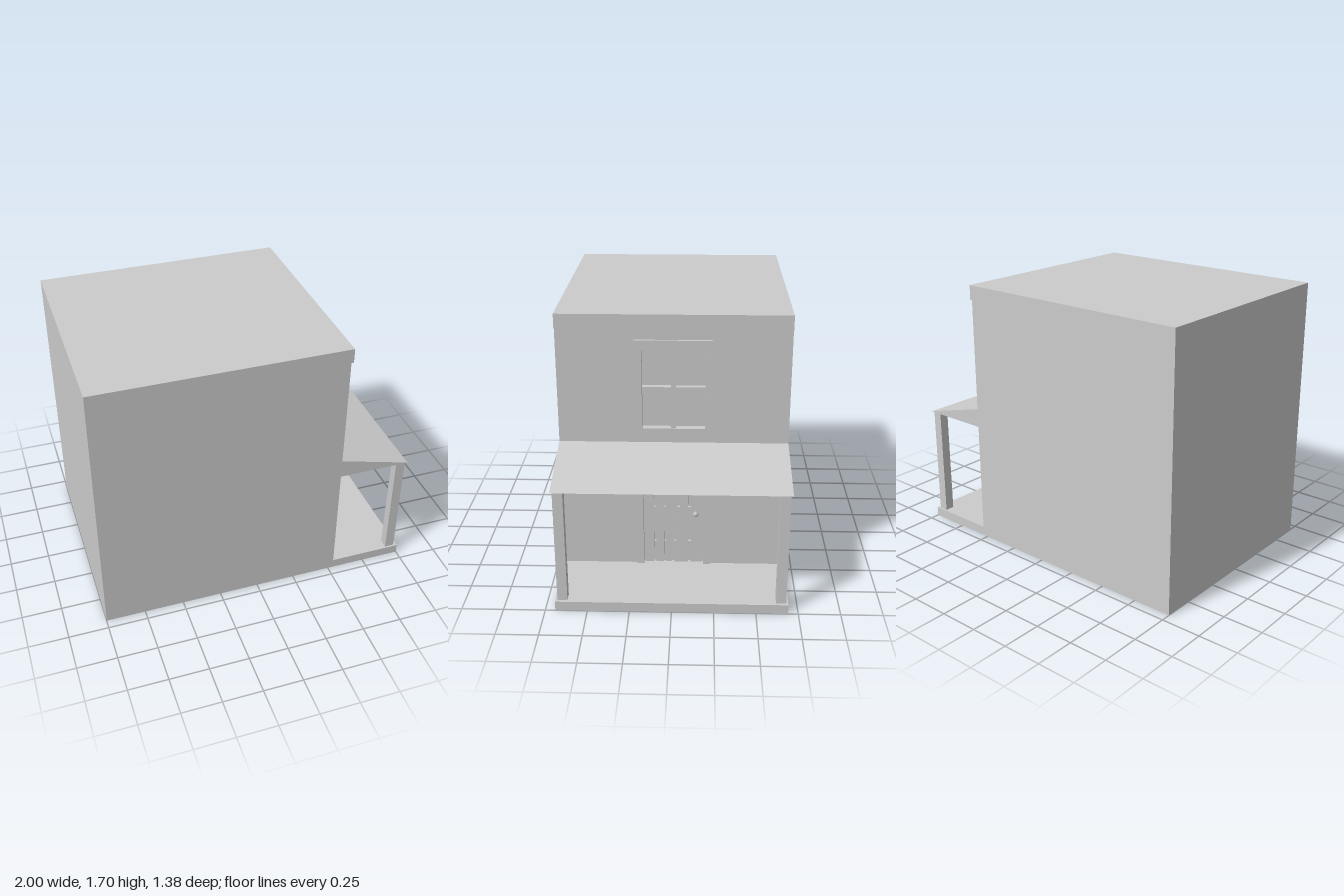
import * as THREE from 'three';

const WALL = 0.535;   // outer face of the facade
const RECESS = 0.505; // back of the door and window openings
const TRIM = 0.55;    // outer face of frames and cornice
const HALF = 0.69;    // half depth of the house

export function createModel() {
  const model = new THREE.Group();
  const material = new THREE.MeshStandardMaterial({ color: 0xcccccc });

  const add = (name, geometry) => {
    const mesh = new THREE.Mesh(geometry, material);
    mesh.name = name;
    model.add(mesh);
    return mesh;
  };
  // Box given by its limits on each axis
  const box = (name, x0, x1, y0, y1, z0, z1) =>
    add(name, new THREE.BoxGeometry(x1 - x0, y1 - y0, z1 - z0)
      .translate((x0 + x1) / 2, (y0 + y1) / 2, (z0 + z1) / 2));
  const points = (list) => list.map(([a, b]) => new THREE.Vector2(a, b));
  const rect = (w, y0, y1) => [[-w, y0], [w, y0], [w, y1], [-w, y1]];
  // Panel drawn as [-z, y] and extruded along x
  const panel = (name, outline, x0, x1, holes = []) => {
    const shape = new THREE.Shape(points(outline));
    for (const hole of holes) shape.holes.push(new THREE.Path(points(hole)));
    const geometry = new THREE.ExtrudeGeometry(shape, { depth: x1 - x0, bevelEnabled: false });
    return add(name, geometry.rotateY(Math.PI / 2).translate(x0, 0, 0));
  };

  // House block, facade with openings, cornice and porch floor
  const doorHole = rect(0.187, 0.06, 0.71);
  const windowHole = rect(0.187, 0.99, 1.48);
  box('houseBody', -1, RECESS, 0, 1.695, -HALF, HALF);
  panel('facade', rect(HALF, 0, 1.695), RECESS, WALL, [doorHole, windowHole]);
  box('cornice', WALL, TRIM, 1.605, 1.695, -HALF, HALF);
  box('porchFloor', WALL, 1, 0, 0.06, -HALF, HALF);

  // Sloping porch roof
  const roof = new THREE.Shape(points([[WALL, 0.773], [0.992, 0.773], [WALL, 0.895]]));
  add('porchRoof', new THREE.ExtrudeGeometry(roof, { depth: 2 * HALF, bevelEnabled: false })
    .translate(0, 0, -HALF));

  // Porch posts
  for (const side of [-1, 1]) {
    const z = side * 0.648;
    box('porchPost', 0.92, 0.98, 0.06, 0.773, z - 0.03, z + 0.03);
  }

  // Window frame and glazing bars
  panel('windowFrame', rect(0.231, 0.927, 1.54), WALL, TRIM, [windowHole]);
  box('windowBarVertical', RECESS, 0.54, 0.99, 1.48, -0.015, 0.015);
  for (const side of [-1, 1]) {
    const inner = side * 0.015, outer = side * 0.187;
    box('windowBarHorizontal', RECESS, 0.54, 1.22, 1.25, Math.min(inner, outer), Math.max(inner, outer));
  }

  // Door frame, open at the bottom
  panel('doorFrame', [
    [-0.231, 0.06], [-0.187, 0.06], [-0.187, 0.71], [0.187, 0.71],
    [0.187, 0.06], [0.231, 0.06], [0.231, 0.757], [-0.231, 0.757],
  ], WALL, TRIM);

  // Door planks: bottom left, bottom right, top right, top left
  const planks = [
    [-0.18, -0.123, -0.123, -0.18],
    [-0.108, -0.06, -0.06, -0.108],
    [-0.047, -0.013, 0.045, -0.047],
    [0.005, 0.09, 0.09, 0.06],
    [0.108, 0.18, 0.18, 0.108],
  ];
  for (const [a, b, c, d] of planks) {
    panel('doorPlank', [[a, 0.07], [b, 0.07], [c, 0.708], [d, 0.708]], 0.52, 0.538);
  }
  // Cross battens behind the planks
  for (const [y0, y1] of [[0.155, 0.21], [0.39, 0.45], [0.575, 0.635]]) {
    box('doorBatten', RECESS, 0.52, y0, y1, -0.18, 0.18);
  }

  // Door knob, turned around the x axis
  const knobProfile = points([
    [0.008, 0.535], [0.008, 0.553], [0.014, 0.556], [0.017, 0.562], [0.014, 0.568], [0.008, 0.571], [0, 0.572],
  ]);
  add('doorKnob', new THREE.LatheGeometry(knobProfile, 20).rotateZ(-Math.PI / 2))
    .position.set(0, 0.42, -0.137);

  return model;
}
